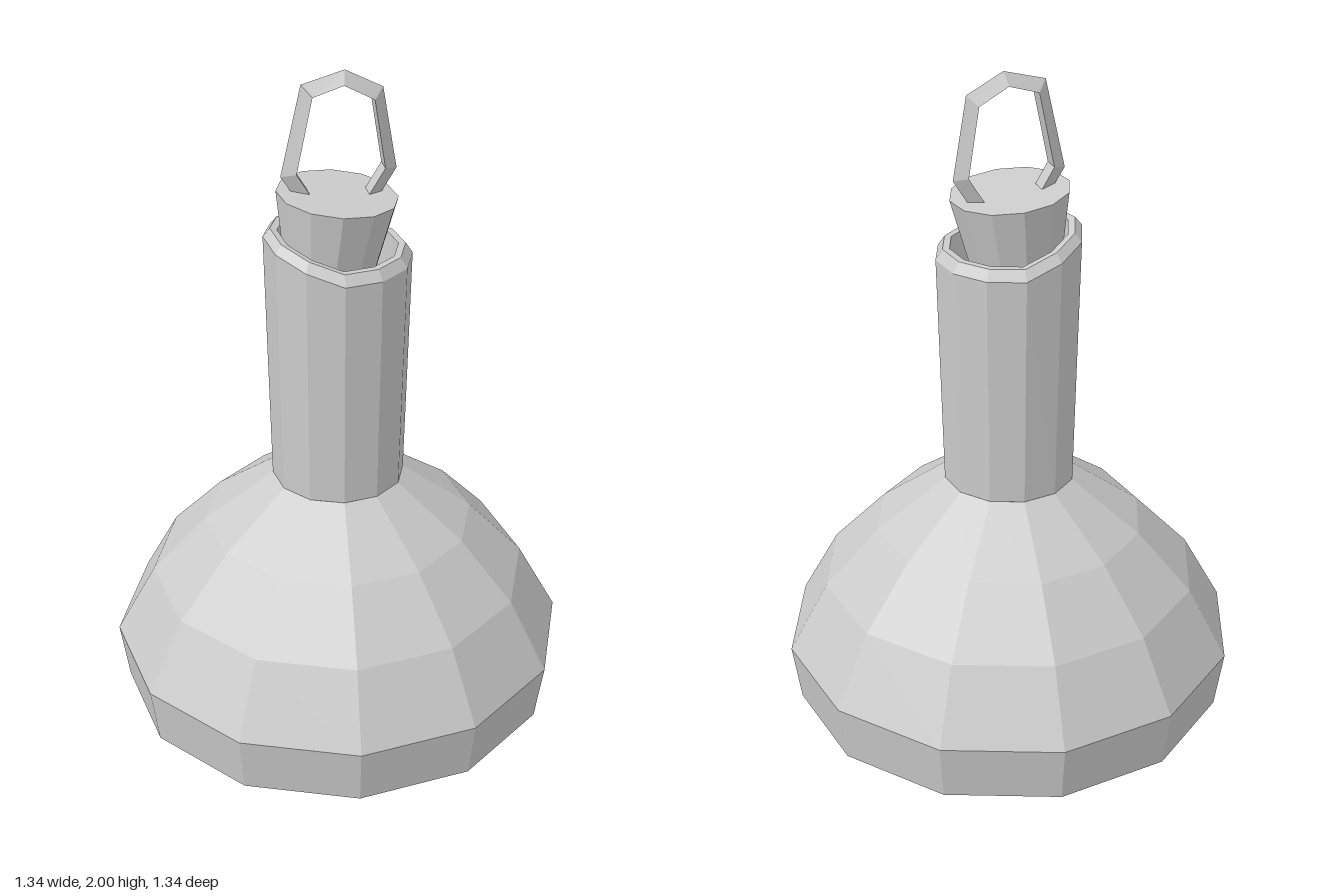
import * as THREE from 'three';

const SIDES = 12;
const material = new THREE.MeshStandardMaterial({ color: 0xcccccc, flatShading: true });

function part(name, geometry) {
  geometry.computeVertexNormals();
  const mesh = new THREE.Mesh(geometry, material);
  mesh.name = name;
  return mesh;
}

function lathe(profile) {
  return new THREE.LatheGeometry(profile.map(([r, y]) => new THREE.Vector2(r, y)), SIDES);
}

// Closed band with a triangular section: a ridge outside, a flat face inside
function ridgedRing(outer, inner, halfDepth) {
  const positions = [];
  const n = outer.length;
  const section = (i) => [
    [...outer[i], 0],
    [...inner[i], halfDepth],
    [...inner[i], -halfDepth],
  ];
  for (let i = 0; i < n; i++) {
    const a = section(i), b = section((i + 1) % n);
    for (let k = 0; k < 3; k++) {
      const m = (k + 1) % 3;
      positions.push(...a[k], ...b[k], ...b[m], ...a[k], ...b[m], ...a[m]);
    }
  }
  const geometry = new THREE.BufferGeometry();
  geometry.setAttribute('position', new THREE.Float32BufferAttribute(positions, 3));
  return geometry;
}

export function createModel() {
  const flask = new THREE.Group();
  flask.name = 'flask';

  // Squat bulb with a chamfered foot
  flask.add(part('bulb', lathe([
    [0, 0], [0.535, 0], [0.645, 0.075], [0.67, 0.25],
    [0.555, 0.46], [0.395, 0.63], [0.19, 0.78], [0, 0.78],
  ])));

  // Neck with a bevelled lip that rises towards -x
  const neck = lathe([
    [0.18, 0.77], [0.192, 0.78], [0.208, 1.47], [0.188, 1.5], [0.168, 1.5], [0.16, 1.38], [0, 1.38],
  ]);
  const p = neck.attributes.position;
  for (let i = 0; i < p.count; i++) {
    if (p.getY(i) > 1.4) p.setY(i, p.getY(i) + Math.max(0, -p.getX(i)) * 0.32);
  }
  flask.add(part('neck', neck));

  // Tapered stopper, slightly tilted
  const cork = part('stopper', new THREE.CylinderGeometry(0.169, 0.122, 0.25, SIDES).translate(0, -0.125, 0));
  cork.position.set(-0.002, 1.655, 0);
  cork.rotation.z = -0.09;
  flask.add(cork);

  // Pull ring, its lower end sunk into the stopper
  const ring = part('pullRing', ridgedRing(
    [[0.08, 1.57], [0.165, 1.71], [0.125, 1.945], [0.02, 2], [-0.1, 1.967], [-0.158, 1.71], [-0.07, 1.57]],
    [[0.055, 1.6], [0.128, 1.72], [0.097, 1.918], [0.013, 1.964], [-0.073, 1.937], [-0.118, 1.722], [-0.045, 1.6]],
    0.025,
  ));
  ring.position.z = -0.017;
  ring.rotation.y = 0.12;
  flask.add(ring);

  return flask;
}
